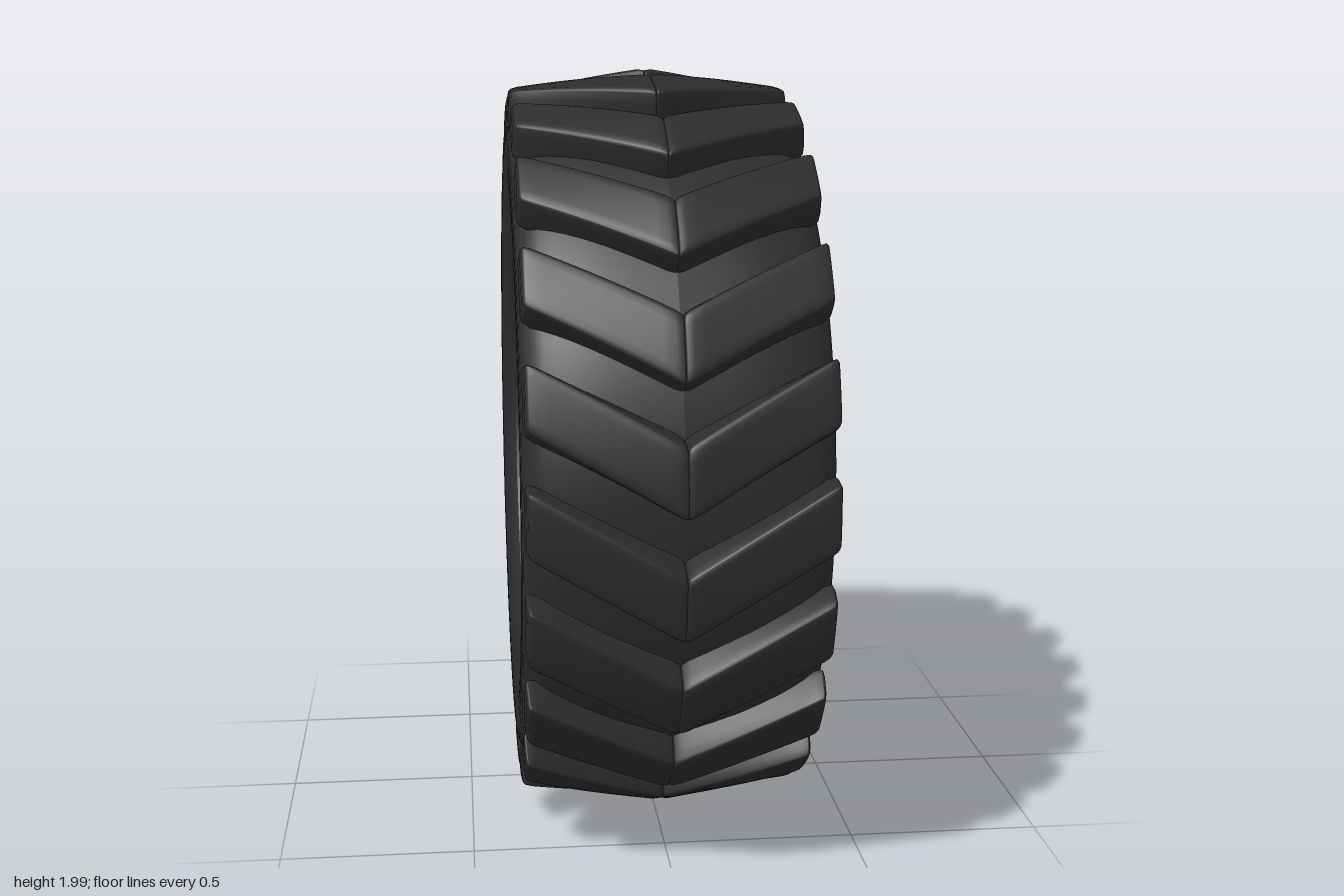
import * as THREE from 'three';
import { mergeVertices } from 'three/addons/utils/BufferGeometryUtils.js';

const LUGS = 20;
const rubber = new THREE.MeshStandardMaterial({ color: 0x2c2c2c, roughness: 0.9 });

// Smooth run of profile points, given as [radius, distance from mid-plane]
function run(points, n) {
  return new THREE.SplineCurve(points.map(([r, x]) => new THREE.Vector2(r, x))).getPoints(n);
}

// Hollow body: half profile from tread to cavity, mirrored. Repeated joints make creases.
function carcassGeometry() {
  const half = [
    ...run([[0.925, 0], [0.912, 0.18], [0.882, 0.31], [0.845, 0.36]], 10),
    ...run([[0.845, 0.36], [0.82, 0.373], [0.74, 0.375], [0.65, 0.368], [0.6, 0.358], [0.575, 0.34]], 16),
    ...run([[0.575, 0.34], [0.566, 0.31], [0.558, 0.275], [0.54, 0.255], [0.51, 0.25], [0.491, 0.243], [0.485, 0.228]], 16),
    ...run([[0.485, 0.228], [0.485, 0.2], [0.485, 0.17]], 2),
    ...run([[0.485, 0.17], [0.515, 0.162], [0.55, 0.135], [0.568, 0.07], [0.572, 0]], 12),
  ];
  const mirrored = half.slice(0, -1).reverse().map(p => new THREE.Vector2(p.x, -p.y));
  const geometry = new THREE.LatheGeometry([...half, ...mirrored], 96);
  geometry.rotateZ(-Math.PI / 2);
  return geometry;
}

// One half of a chevron lug: a rounded block, slanted and bent around the tyre
function lugGeometry(side) {
  const size = new THREE.Vector3(0.37, 0.14, 0.175).multiplyScalar(0.5);
  const round = 0.02;
  const inner = size.clone().subScalar(round);
  let geometry = new THREE.BoxGeometry(2, 2, 2, 12, 6, 10);
  geometry.deleteAttribute('normal');
  geometry.deleteAttribute('uv');
  geometry = mergeVertices(geometry);
  const pos = geometry.attributes.position;
  const p = new THREE.Vector3(), core = new THREE.Vector3();
  for (let i = 0; i < pos.count; i++) {
    p.fromBufferAttribute(pos, i);
    // Crowd the grid toward the edges, then round them
    p.set(...p.toArray().map(v => Math.sin(v * Math.PI / 2))).multiply(size);
    core.copy(p).clamp(inner.clone().negate(), inner);
    p.sub(core).setLength(round).add(core);
    // Along = 0 at the centre line, 1 at the shoulder; height = 0 at the base, 1 on top
    const along = p.x / (2 * size.x) + 0.5;
    const height = p.y / (2 * size.y) + 0.5;
    const top = 1.0 - 0.052 * along;
    const r = 0.855 + (top - 0.855) * height;
    // Side walls flare toward the base, most on the trailing side near the centre
    const flare = 0.15 + (p.z < 0 ? 0.35 * (1 - along) : 0);
    const angle = -0.093 - 0.22 * along + p.z * (1 + flare * (1 - height));
    const x = along * 0.37 - 0.004 + 0.006 * along * (1 - height);
    pos.setXYZ(i, side * x, r * Math.cos(angle), r * Math.sin(angle));
  }
  // Mirroring turns the faces inside out, so flip their corners
  if (side < 0) geometry.index.array.reverse();
  geometry.computeVertexNormals();
  return geometry;
}

export function createModel() {
  const model = new THREE.Group();
  model.name = 'tyre';

  const carcass = new THREE.Mesh(carcassGeometry(), rubber);
  carcass.name = 'carcass';
  carcass.position.y = 1;
  model.add(carcass);

  // Chevron tread, both halves repeated around the axle
  const tread = new THREE.Group();
  tread.name = 'tread';
  tread.position.y = 1;
  for (const [side, name] of [[1, 'leftLug'], [-1, 'rightLug']]) {
    const geometry = lugGeometry(side);
    for (let i = 0; i < LUGS; i++) {
      const lug = new THREE.Mesh(geometry, rubber);
      lug.name = name;
      lug.rotation.x = (i / LUGS) * Math.PI * 2;
      tread.add(lug);
    }
  }
  model.add(tread);
  return model;
}
